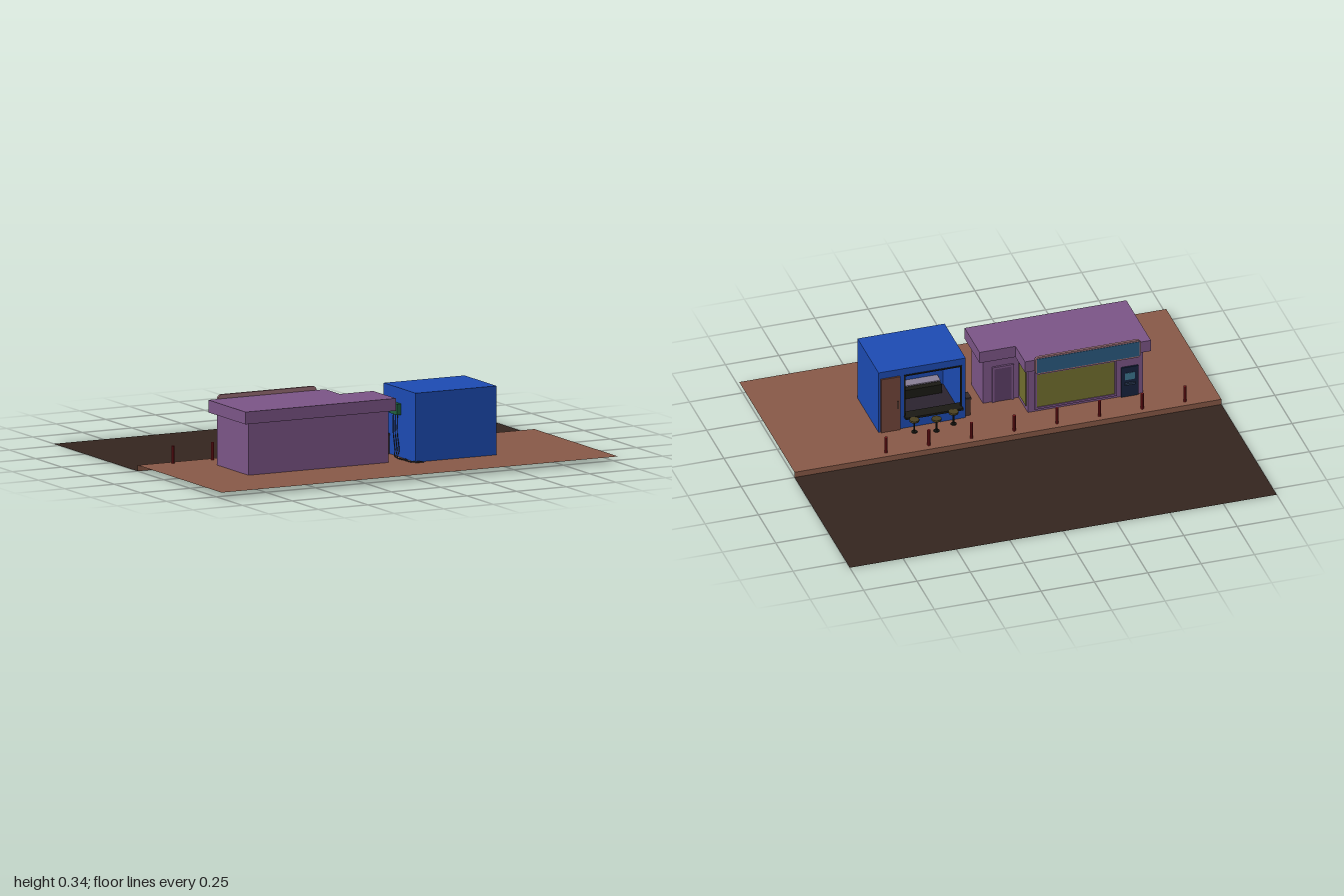
import * as THREE from 'three';

const G = 0.027; // pavement height

export function createModel() {
  const root = new THREE.Group();
  const mats = {};
  const mat = (c) => (mats[c] ??= new THREE.MeshStandardMaterial({ color: c, flatShading: true, side: THREE.DoubleSide }));
  const add = (name, geo, color, parent = root) => {
    const m = new THREE.Mesh(geo, mat(color));
    m.name = name;
    parent.add(m);
    return m;
  };
  // box given by its limits on each axis
  const box = (name, color, x0, x1, y0, y1, z0, z1, parent = root) => {
    const m = add(name, new THREE.BoxGeometry(x1 - x0, y1 - y0, z1 - z0), color, parent);
    m.position.set((x0 + x1) / 2, (y0 + y1) / 2, (z0 + z1) / 2);
    return m;
  };
  const group = (name) => {
    const g = new THREE.Group();
    g.name = name;
    root.add(g);
    return g;
  };
  const shapeOf = (pts) => new THREE.Shape(pts.map((p) => new THREE.Vector2(...p)));
  // footprint in x and z, raised from y0 to y1
  const slab = (name, color, pts, y0, y1, parent) => {
    const geo = new THREE.ExtrudeGeometry(shapeOf(pts), { depth: y1 - y0, bevelEnabled: false });
    geo.rotateX(Math.PI / 2).translate(0, y1, 0);
    return add(name, geo, color, parent);
  };
  const lShape = (x0, xi, x1, z0, zi, z1) => [[x0, z0], [xi, z0], [xi, zi], [x1, zi], [x1, z1], [x0, z1]];

  // ground: road, kerb and raised pavement
  const road = add('road', new THREE.PlaneGeometry(2, 0.8).rotateX(-Math.PI / 2), 0x35261f);
  road.position.set(0, 0, -0.4);
  const pavement = add('pavement', new THREE.PlaneGeometry(2, 0.8).rotateX(-Math.PI / 2), 0x8a5a48);
  pavement.position.set(0, G, 0.4);
  const kerb = add('kerb', new THREE.PlaneGeometry(2, G).rotateY(Math.PI), 0x8a5a48);
  kerb.position.y = G / 2;

  // row of bollards along the kerb
  const bollards = group('bollards');
  for (let i = 0; i < 8; i++) {
    const b = add('bollard', new THREE.CylinderGeometry(0.007, 0.007, 0.08, 10), 0x8a1a20, bollards);
    b.position.set(-0.84 + i * 0.2, G + 0.04, 0.034);
  }

  // L-shaped store
  const store = group('store');
  const PURPLE = 0x7d5688, OLIVE = 0x73702f;
  slab('storeWalls', PURPLE, lShape(-0.685, -0.145, 0.022, 0.16, 0.295, 0.46), G, 0.265, store);
  slab('storeRoof', PURPLE, lShape(-0.71, -0.12, 0.048, 0.125, 0.263, 0.48), 0.262, 0.318, store);
  box('storeWindow', OLIVE, -0.55, -0.185, 0.05, 0.22, 0.156, 0.162, store);
  box('sideWindow', OLIVE, -0.147, -0.141, 0.05, 0.225, 0.18, 0.275, store);
  for (const [x0, x1, y0, y1] of [
    [-0.56, -0.175, 0.04, 0.05], [-0.56, -0.175, 0.22, 0.23],
    [-0.56, -0.55, 0.05, 0.22], [-0.185, -0.175, 0.05, 0.22],
  ]) box('windowFrame', PURPLE, x0, x1, y0, y1, 0.152, 0.162, store);
  // cash machine
  box('machineBody', 0x17243f, -0.66, -0.58, G, 0.18, 0.152, 0.165, store);
  box('machineScreen', 0x3d7791, -0.643, -0.597, 0.115, 0.15, 0.15, 0.154, store);
  box('machineShelf', 0x2b3a55, -0.645, -0.595, 0.09, 0.1, 0.143, 0.154, store);
  // recessed entrance
  box('entranceDoor', 0x5d3f68, -0.11, -0.03, G, 0.2, 0.29, 0.298, store);
  for (const x of [-0.12, -0.03]) box('doorPost', PURPLE, x, x + 0.01, G, 0.21, 0.286, 0.3, store);
  box('doorLintel', PURPLE, -0.12, -0.02, 0.2, 0.21, 0.286, 0.3, store);

  // rounded sign board with a blue face
  const signShape = new THREE.Shape();
  const [sx0, sx1, sy0, sy1, r] = [-0.66, -0.165, 0.247, 0.337, 0.018];
  signShape.absarc(sx1 - r, sy1 - r, r, 0, Math.PI / 2);
  signShape.absarc(sx0 + r, sy1 - r, r, Math.PI / 2, Math.PI);
  signShape.absarc(sx0 + r, sy0 + r, r, Math.PI, Math.PI * 1.5);
  signShape.absarc(sx1 - r, sy0 + r, r, Math.PI * 1.5, Math.PI * 2);
  const sign = new THREE.ExtrudeGeometry(signShape, { depth: 0.012, bevelEnabled: false, curveSegments: 5 });
  add('signBoard', sign, 0x9c7078, store).position.z = 0.114;
  box('signFace', 0x2a5a80, sx0 + 0.008, sx1 - 0.008, sy0 + 0.008, sy1 - 0.008, 0.112, 0.1145, store);

  // blue kiosk: hollow shell with an open serving side
  const kiosk = group('kiosk');
  const BLUE = 0x1d4cb5, DARK = 0x1b1a14;
  const [kx0, kx1, ky1, kz0, kz1, t] = [0.132, 0.54, 0.339, 0.205, 0.51, 0.01];
  box('kioskRoof', BLUE, kx0, kx1, ky1 - t, ky1, kz0, kz1, kiosk);
  box('kioskFloor', 0x2b2430, kx0 + t, kx1 - t, G, G + 0.004, kz0 + t, kz1 - t, kiosk);
  box('kioskWall', BLUE, kx0, kx0 + t, G, ky1 - t, kz0, kz1, kiosk);
  box('kioskWall', BLUE, kx1 - t, kx1, G, ky1 - t, kz0, kz1, kiosk);
  box('kioskWall', BLUE, kx0 + t, kx1 - t, G, ky1 - t, kz1 - t, kz1, kiosk);
  const frontShape = shapeOf([[kx0 + t, G], [kx1 - t, G], [kx1 - t, ky1 - t], [kx0 + t, ky1 - t]]);
  frontShape.holes.push(new THREE.Path([[0.155, 0.09], [0.155, 0.3], [0.42, 0.3], [0.42, 0.09]].map((p) => new THREE.Vector2(...p))));
  add('servingWall', new THREE.ExtrudeGeometry(frontShape, { depth: t, bevelEnabled: false }), BLUE, kiosk).position.z = kz0;
  box('kioskDoor', 0x74463a, 0.44, 0.53, G, 0.305, 0.197, 0.206, kiosk);
  box('doorHandle', DARK, 0.45, 0.455, 0.14, 0.18, 0.193, 0.198, kiosk);
  box('counter', DARK, 0.15, 0.42, 0.083, 0.093, 0.18, 0.235, kiosk);
  // opening frame
  for (const x of [0.15, 0.415]) box('openingPost', DARK, x, x + 0.006, 0.093, 0.305, 0.201, 0.215, kiosk);
  box('openingLintel', DARK, 0.15, 0.421, 0.299, 0.305, 0.201, 0.215, kiosk);
  // fittings inside
  box('fridge', 0x2b9c8c, 0.4, 0.49, G, 0.2, 0.44, 0.495, kiosk);
  box('fridgeHandle', DARK, 0.41, 0.415, 0.1, 0.15, 0.436, 0.441, kiosk);
  for (let i = 0; i < 3; i++) {
    box('shelf', 0x8a8098, 0.17, 0.38, 0.08 + i * 0.06, 0.086 + i * 0.06, 0.45, 0.498, kiosk);
  }
  box('worktop', DARK, 0.17, 0.38, G, 0.075, 0.43, 0.498, kiosk);

  // stools at the counter
  for (const [x, z] of [[0.2, 0.17], [0.29, 0.138], [0.387, 0.16]]) {
    const s = group('stool');
    s.position.set(x, G, z);
    add('stoolSeat', new THREE.CylinderGeometry(0.022, 0.022, 0.009, 14), 0x4a4020, s).position.y = 0.0615;
    add('stoolPost', new THREE.CylinderGeometry(0.004, 0.004, 0.057, 8), DARK, s).position.y = 0.0285;
    add('stoolBase', new THREE.CylinderGeometry(0.013, 0.014, 0.004, 12), DARK, s).position.y = 0.002;
  }

  // litter bin beside the kiosk
  box('bin', 0x4a3530, 0.104, 0.13, G, 0.11, 0.218, 0.265);
  box('binLid', 0x352a28, 0.102, 0.131, 0.11, 0.12, 0.216, 0.267);

  // meter box with cables trailing down to the ground
  box('meterBox', 0x1f6040, 0.111, 0.133, 0.22, 0.27, 0.295, 0.372);
  for (let i = 0; i < 3; i++) {
    const z = 0.315 + i * 0.02;
    const path = new THREE.CatmullRomCurve3([
      [0.122, 0.22, z], [0.118, 0.14, z + 0.006], [0.124, 0.06, z + 0.012], [0.112 - i * 0.004, G + 0.003, z + 0.035],
      [0.122 - i * 0.008, G + 0.003, 0.44], [0.108, G + 0.003, 0.49 + i * 0.01], [0.13, G + 0.004, 0.52 + i * 0.01], [0.16, G + 0.003, 0.52 + i * 0.008],
    ].map((p) => new THREE.Vector3(...p)));
    add('cable', new THREE.TubeGeometry(path, 40, 0.002, 5), 0x3a3432);
  }
  return root;
}
